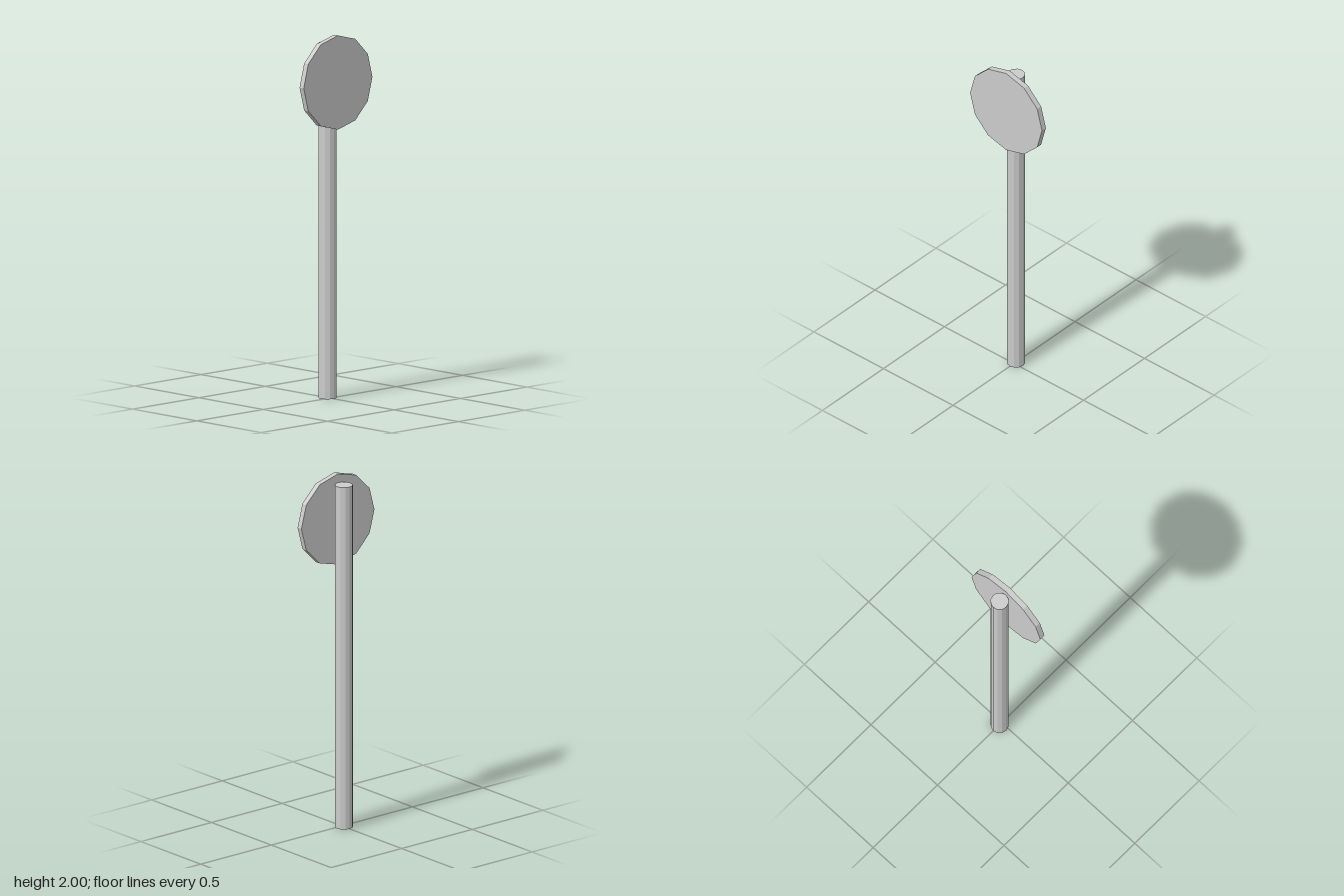
import * as THREE from 'three';

export function createModel() {
  const group = new THREE.Group();
  const material = new THREE.MeshStandardMaterial({ color: 0xcccccc, flatShading: true });

  // Twelve-sided cylinder shared by both parts
  const addCylinder = (name, radius, length, y, z) => {
    const mesh = new THREE.Mesh(new THREE.CylinderGeometry(radius, radius, length, 12), material);
    mesh.name = name;
    mesh.position.set(0, y, z);
    group.add(mesh);
    return mesh;
  };

  // Upright post
  const postHeight = 1.95;
  addCylinder('post', 0.0495, postHeight, postHeight / 2, -0.0165);

  // Round sign plate resting against the front of the post
  const plateRadius = 0.2585;
  const plate = addCylinder('signPlate', plateRadius, 0.032, 2 - plateRadius, 0.049);
  plate.rotation.x = Math.PI / 2;

  return group;
}
